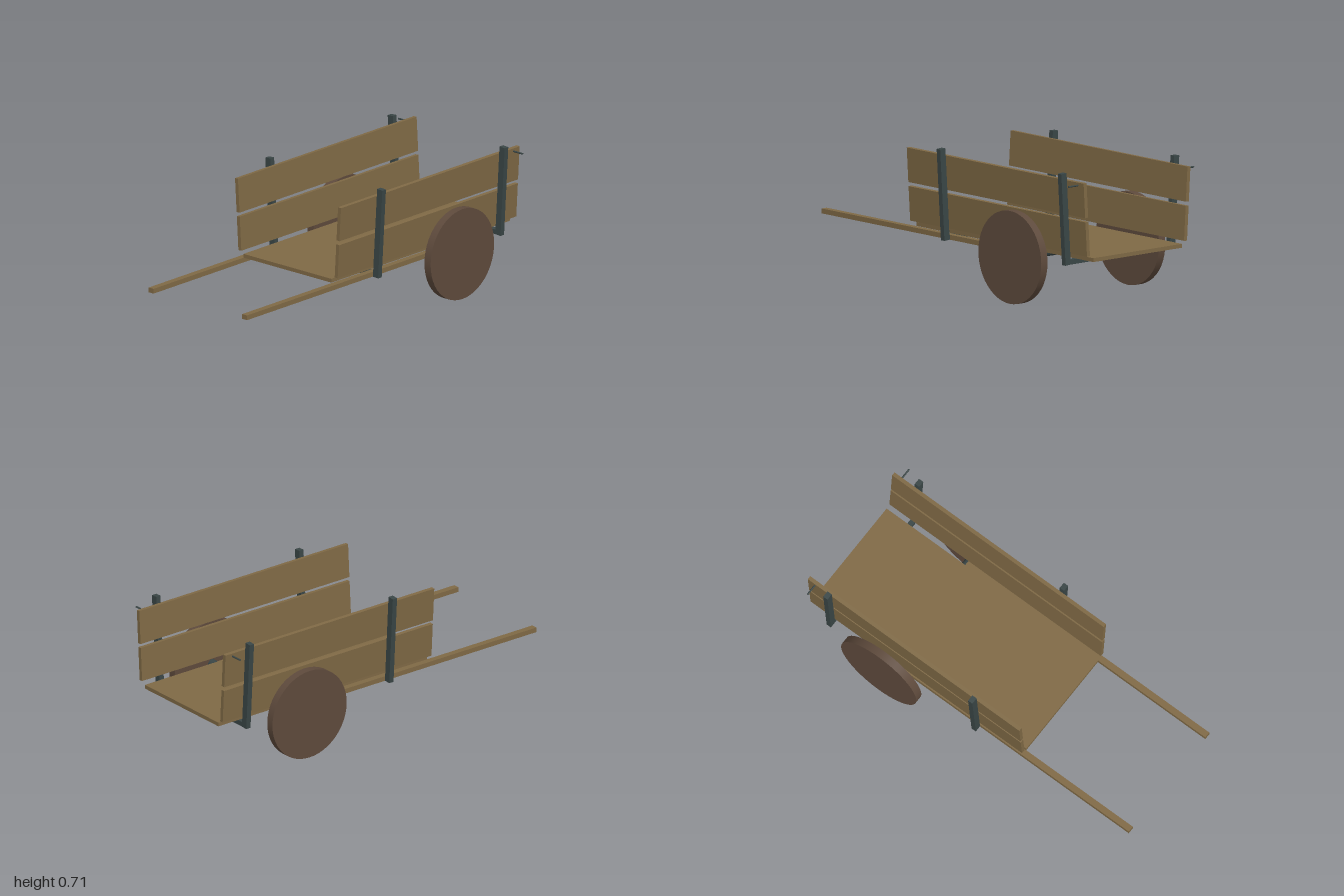
import * as THREE from 'three';

const material = (name, color) => {
  const m = new THREE.MeshStandardMaterial({ color });
  m.name = name;
  return m;
};

export function createModel() {
  const wood = material('plank wood', 0x7f6945);
  const darkWood = material('wheel wood', 0x5e4a3c);
  const iron = material('dark iron', 0x3a4646);
  const cart = new THREE.Group();
  cart.name = 'handcart';

  // Box given by its minimum and maximum corners
  const box = (parent, name, mat, min, max) => {
    const size = max.map((v, i) => v - min[i]);
    const mesh = new THREE.Mesh(new THREE.BoxGeometry(...size), mat);
    mesh.position.set(...min.map((v, i) => (v + max[i]) / 2));
    mesh.name = name;
    parent.add(mesh);
  };

  // Cylinder lying along x
  const rod = (name, mat, radius, x0, x1, y, z, sides) => {
    const geometry = new THREE.CylinderGeometry(radius, radius, Math.abs(x1 - x0), sides);
    geometry.rotateZ(Math.PI / 2);
    const mesh = new THREE.Mesh(geometry, mat);
    mesh.position.set((x0 + x1) / 2, y, z);
    mesh.name = name;
    cart.add(mesh);
  };

  const frameZ = [0.05, -0.861];
  const half = 0.0135;

  // Deck, cross bars and axle
  box(cart, 'deck', wood, [-0.3, 0.265, -1], [0.292, 0.285, 0.33]);
  for (const z of frameZ) {
    box(cart, 'crossBar', iron, [-0.345, 0.24, z - half], [0.345, 0.2645, z + half]);
  }
  rod('axle', iron, 0.025, -0.374, 0.374, 0.237, -0.51, 32);

  for (const [side, s] of [['left', 1], ['right', -1]]) {
    // Wheel, pull shaft and tailgate pin
    rod(side + 'Wheel', darkWood, 0.2365, s * 0.373, s * 0.415, 0.2365, -0.51, 48);
    const shaftX = s > 0 ? [0.297, 0.33] : [-0.333, -0.3];
    box(cart, side + 'Shaft', wood, [shaftX[0], 0.24, -0.51], [shaftX[1], 0.265, 1]);
    rod(side + 'Pin', iron, 0.0045, s * 0.346, s * 0.419, 0.656, -0.955, 12);

    // Side wall leaning outward: posts outside, planks inside
    const wall = new THREE.Group();
    wall.name = side + 'Wall';
    wall.position.set(s * 0.331, 0.24, 0);
    wall.rotation.z = -s * 0.061;
    const span = (a, b) => (s > 0 ? [a, b] : [-b, -a]);
    const [p0, p1] = span(0, 0.035);
    const [b0, b1] = span(-0.02, 0);
    for (const z of frameZ) {
      box(wall, 'post', iron, [p0, 0, z - half], [p1, 0.469, z + half]);
    }
    for (const y of [0.057, 0.255]) {
      box(wall, 'sidePlank', wood, [b0, y, -1], [b1, y + 0.177, 0.33]);
    }
    cart.add(wall);
  }
  return cart;
}
